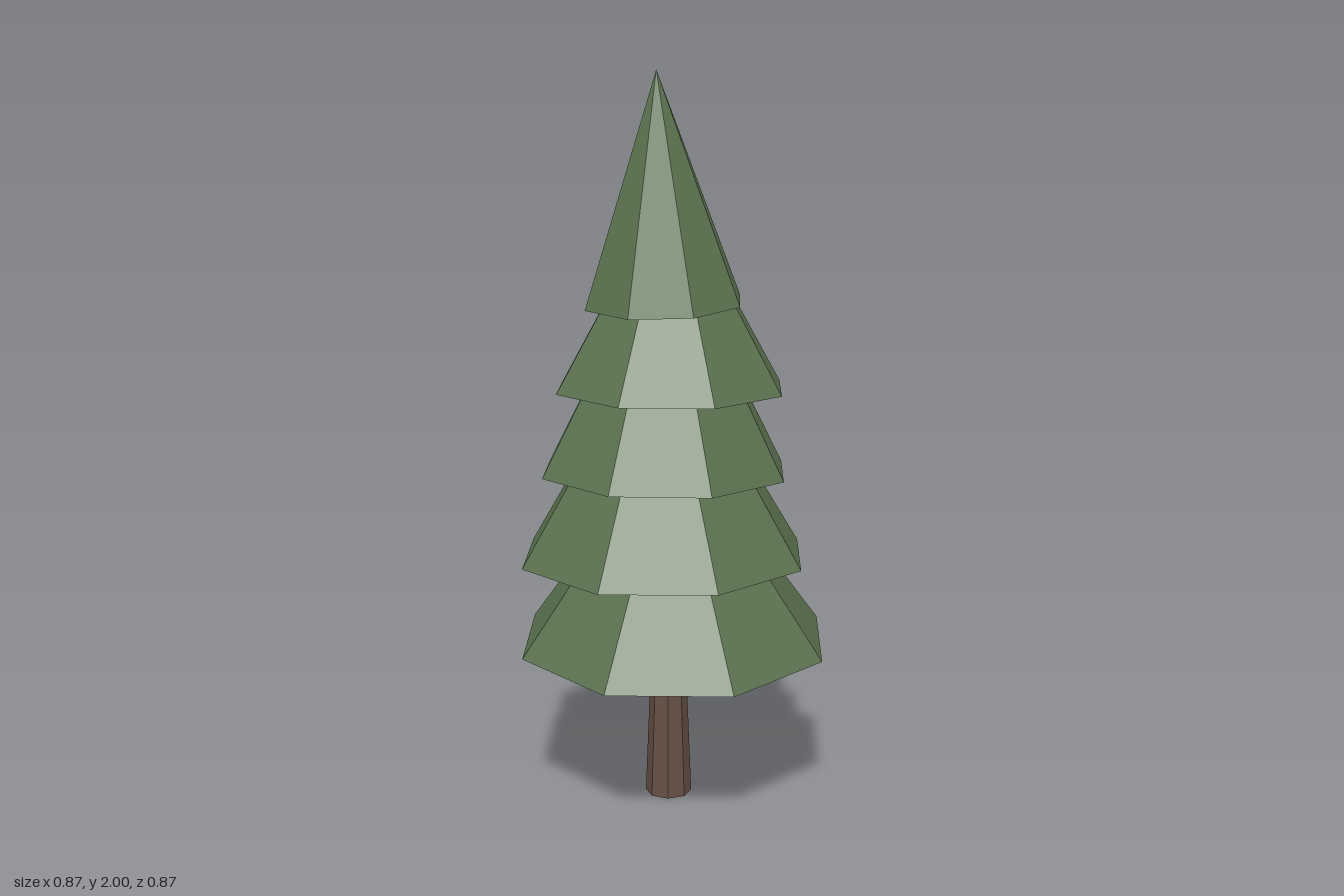
import * as THREE from 'three';

export function createModel() {
  const tree = new THREE.Group();
  tree.name = 'pineTree';

  const needles = new THREE.MeshStandardMaterial({ color: 0x5b7350, flatShading: true });
  needles.name = 'needleGreen';
  const bark = new THREE.MeshStandardMaterial({ color: 0x665045, flatShading: true });
  bark.name = 'barkBrown';

  // Tapered eight-sided trunk, running up inside the lowest tier
  const trunkHeight = 0.6;
  const trunkGeometry = new THREE.CylinderGeometry(0.04, 0.064, trunkHeight, 8);
  trunkGeometry.rotateY(Math.PI / 8);
  trunkGeometry.translate(0, trunkHeight / 2, 0);
  const trunk = new THREE.Mesh(trunkGeometry, bark);
  trunk.name = 'trunk';
  trunk.position.set(-0.008, 0, -0.02);
  tree.add(trunk);

  // Foliage tiers, bottom to top: base centre, radius, height and lean along x and z
  const tiers = [
    { x: 0, y: 0.46, z: 0, radius: 0.435, height: 0.6, leanX: -0.018, leanZ: 0.038 },
    { x: -0.02, y: 0.695, z: -0.028, radius: 0.403, height: 0.66, leanX: 0, leanZ: -0.01 },
    { x: -0.014, y: 0.932, z: -0.034, radius: 0.347, height: 0.66, leanX: 0.015, leanZ: -0.02 },
    { x: -0.005, y: 1.164, z: -0.013, radius: 0.32, height: 0.55, leanX: 0.01, leanZ: -0.018 },
    { x: -0.027, y: 1.396, z: -0.005, radius: 0.219, height: 0.605, leanX: -0.046, leanZ: 0.04 },
  ];
  tiers.forEach((t, i) => {
    const geometry = new THREE.ConeGeometry(t.radius, t.height, 8);
    geometry.translate(0, t.height / 2, 0); // lean about the base
    const tier = new THREE.Mesh(geometry, needles);
    tier.name = `foliageTier${i + 1}`;
    tier.position.set(t.x, t.y, t.z);
    tier.rotation.set(t.leanZ, 0, -t.leanX);
    tree.add(tier);
  });

  return tree;
}
